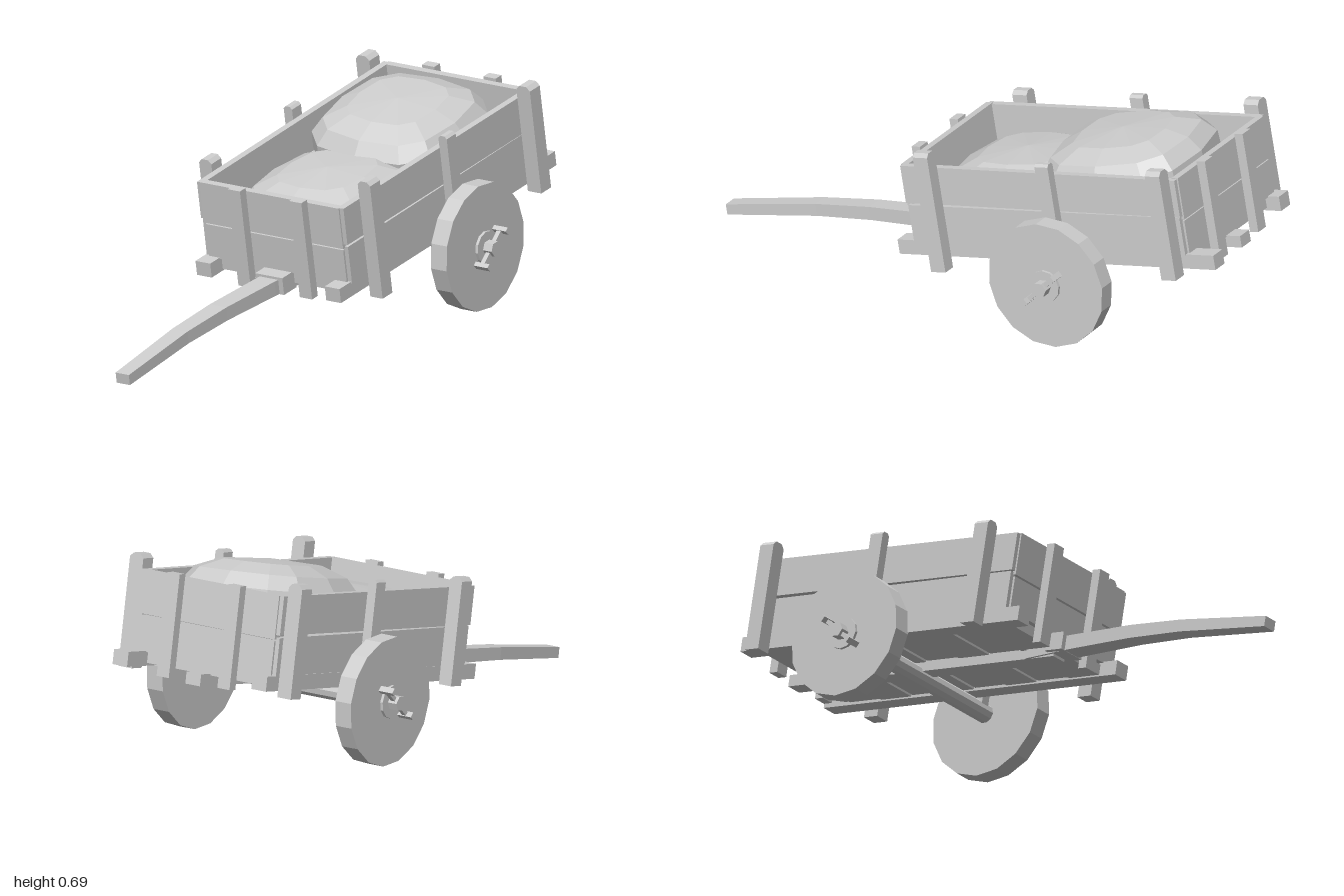
import * as THREE from 'three';

const mat = new THREE.MeshStandardMaterial({ color: 0xcccccc, flatShading: true, side: THREE.DoubleSide });

export function createModel() {
  const model = new THREE.Group();
  model.name = 'handCart';

  // The whole cart is built square, then turned and tipped onto its shaft
  const cart = new THREE.Group();
  cart.name = 'cart';
  cart.position.set(0.014, 0.29, -0.363);
  cart.rotation.set(0.1745, 0.1745, 0, 'YXZ');
  model.add(cart);

  const add = (name, geo, x, y, z, parent = cart) => {
    const m = new THREE.Mesh(geo, mat);
    m.name = name;
    m.position.set(x, y, z);
    parent.add(m);
    return m;
  };
  const box = (name, w, h, d, x, y, z, parent) =>
    add(name, new THREE.BoxGeometry(w, h, d), x, y, z, parent);

  // Floor of cross planks with narrow gaps
  const planks = 8, pitch = 1.04 / planks;
  for (let i = 0; i < planks; i++) {
    box('floorPlank', 0.55, 0.035, pitch - 0.006, 0, -0.018 - (i % 2) * 0.004, -0.52 + pitch * (i + 0.5));
  }

  // Long sills under the sides, the left one longer at the back
  box('leftSill', 0.06, 0.05, 1.21, 0.262, -0.02, -0.02);
  box('rightSill', 0.06, 0.05, 1.15, -0.268, -0.02, 0.005);
  box('centreBeam', 0.06, 0.04, 1.1, 0, -0.05, -0.02);

  // Side walls: two planks each, slightly askew
  for (const s of [-1, 1]) {
    const low = box('sideLowerPlank', 0.025, 0.132, 1.04, s * 0.283, 0.066, 0);
    const high = box('sideUpperPlank', 0.025, 0.13, 1.05, s * 0.286, 0.203, 0);
    low.rotation.x = 0.003 * s;
    high.rotation.x = -0.003 * s;
  }

  // End walls: two planks and two battens each
  for (const s of [-1, 1]) {
    box('endLowerPlank', 0.56, 0.118, 0.025, 0, 0.06, s * 0.515);
    box('endUpperPlank', 0.565, 0.145, 0.025, 0, 0.197, s * 0.518);
    for (const x of [-0.12, 0.13]) {
      box('endBatten', 0.05, 0.345, 0.032, x, 0.108, s * 0.546);
    }
  }

  // Side posts with chamfered tops
  const post = (x, z, bottom, top, w, d) => {
    const h = w / 2, c = w * 0.25;
    const shape = new THREE.Shape([
      [-h, bottom], [h, bottom], [h, top - c], [h - c, top], [c - h, top], [-h, top - c],
    ].map(p => new THREE.Vector2(...p)));
    const geo = new THREE.ExtrudeGeometry(shape, { depth: d, bevelEnabled: false });
    geo.translate(0, 0, -d / 2);
    add('sidePost', geo, x, 0, z);
  };
  for (const s of [-1, 1]) {
    post(s * 0.325, 0.41, s > 0 ? -0.08 : -0.055, s > 0 ? 0.335 : 0.305, 0.05, 0.055);
    post(s * 0.315, -0.04, -0.08, 0.312, 0.034, 0.05);
    post(s * 0.327, -0.478, -0.065, 0.314, 0.055, 0.055);
  }

  // Pulling shaft: tapered square sections along a slight bow
  const sections = [ // x, y, z, half width, half height
    [0, -0.045, 0.42, 0.038, 0.026],
    [0, -0.03, 0.6, 0.037, 0.025],
    [-0.01, -0.02, 0.85, 0.034, 0.023],
    [-0.014, -0.02, 1.06, 0.031, 0.021],
    [-0.003, -0.032, 1.402, 0.027, 0.018],
  ];
  const pos = [], idx = [];
  sections.forEach(([x, y, z, w, h], i) => {
    pos.push(x - w, y - h, z, x + w, y - h, z, x + w, y + h, z, x - w, y + h, z);
    if (i) for (let k = 0; k < 4; k++) {
      const a = (i - 1) * 4 + k, b = (i - 1) * 4 + (k + 1) % 4;
      idx.push(a, b, b + 4, a, b + 4, a + 4);
    }
  });
  const e = (sections.length - 1) * 4;
  idx.push(0, 2, 1, 0, 3, 2, e, e + 1, e + 2, e, e + 2, e + 3);
  const shaft = new THREE.BufferGeometry();
  shaft.setAttribute('position', new THREE.Float32BufferAttribute(pos, 3));
  shaft.setIndex(idx);
  const shaftGeo = shaft.toNonIndexed();
  shaftGeo.computeVertexNormals();
  add('shaft', shaftGeo, 0, 0, 0);
  box('shaftBracket', 0.11, 0.06, 0.07, 0, -0.028, 0.545);

  // Axle, wheels, washers and linchpins
  const axleY = -0.078, axleZ = -0.042;
  const across = (name, r, len, sides, x, parent) => {
    const m = add(name, new THREE.CylinderGeometry(r, r, len, sides), x, 0, 0, parent);
    m.rotation.z = Math.PI / 2;
    return m;
  };
  const running = new THREE.Group();
  running.name = 'runningGear';
  running.position.set(0, axleY, axleZ);
  cart.add(running);
  across('axle', 0.032, 0.78, 10, 0, running);
  for (const s of [-1, 1]) {
    across('wheel', 0.216, 0.064, 16, s * 0.388, running);
    across('washer', 0.055, 0.012, 12, s * 0.424, running);
    across('axleEnd', 0.026, 0.06, 6, s * 0.435, running);
    const pin = new THREE.Group();
    pin.name = 'linchpin';
    pin.position.x = s * 0.446;
    pin.rotation.x = -0.95;
    running.add(pin);
    box('pinBar', 0.016, 0.15, 0.014, 0, 0, 0, pin);
    for (const t of [-1, 1]) box('pinProng', 0.06, 0.016, 0.02, 0, t * 0.072, 0, pin);
  }

  // Stuffed sacks: coarse spheres squared off towards a pillow shape
  const sack = (name, x, y, z, w, h, d) => {
    const geo = new THREE.SphereGeometry(1, 12, 7);
    const p = geo.attributes.position;
    const square = (v, k) => Math.sign(v) * Math.abs(v) ** k;
    for (let i = 0; i < p.count; i++) {
      p.setXYZ(i, w * square(p.getX(i), 0.68), h * square(p.getY(i), 0.95), d * square(p.getZ(i), 0.68));
    }
    geo.computeVertexNormals();
    return add(name, geo, x, y, z);
  };
  const back = sack('backSack', 0.01, 0.212, -0.185, 0.264, 0.122, 0.28);
  back.rotation.set(0.06, 0.03, -0.06);
  sack('frontSack', 0, 0.118, 0.21, 0.262, 0.124, 0.275);

  return model;
}
